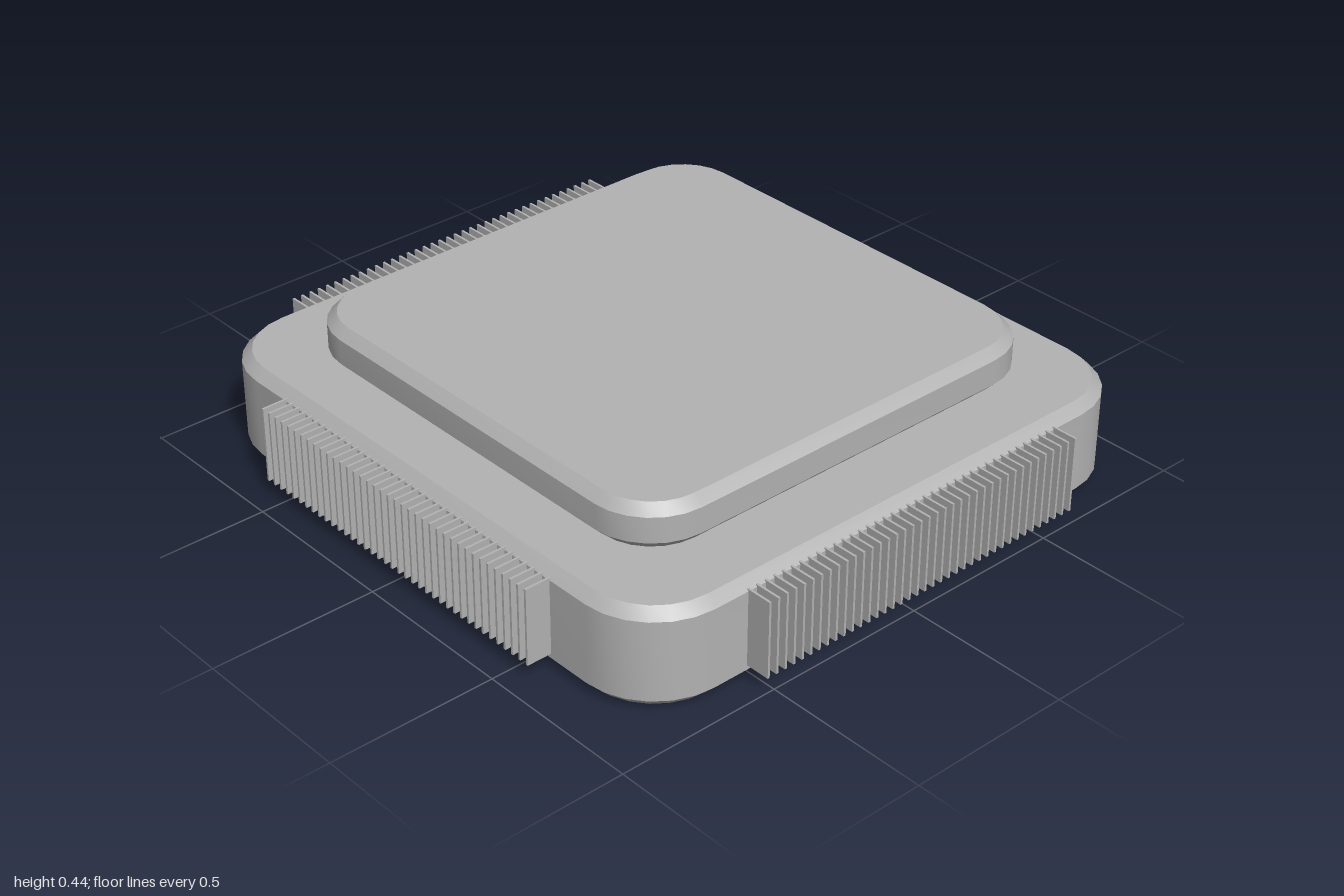
import * as THREE from 'three';
import { toCreasedNormals } from 'three/addons/utils/BufferGeometryUtils.js';

const grey = new THREE.MeshStandardMaterial({ color: 0xb2b2b2 });
grey.name = 'grey';

// Rounded slab with chamfered top and bottom edges, lying flat on y = y0
function slab(name, hx, hz, radius, y0, y1, chamfer) {
  const s = new THREE.Shape();
  s.moveTo(-hx + radius, -hz);
  s.lineTo(hx - radius, -hz);
  s.absarc(hx - radius, -hz + radius, radius, -Math.PI / 2, 0);
  s.lineTo(hx, hz - radius);
  s.absarc(hx - radius, hz - radius, radius, 0, Math.PI / 2);
  s.lineTo(-hx + radius, hz);
  s.absarc(-hx + radius, hz - radius, radius, Math.PI / 2, Math.PI);
  s.lineTo(-hx, -hz + radius);
  s.absarc(-hx + radius, -hz + radius, radius, Math.PI, Math.PI * 1.5);
  const geo = new THREE.ExtrudeGeometry(s, {
    depth: y1 - y0 - 2 * chamfer, curveSegments: 3, bevelEnabled: true,
    bevelSize: chamfer, bevelThickness: chamfer, bevelOffset: -chamfer, bevelSegments: 1,
  });
  geo.rotateX(-Math.PI / 2);
  geo.translate(0, y0 + chamfer, 0);
  const mesh = new THREE.Mesh(toCreasedNormals(geo, 0.7), grey);
  mesh.name = name;
  return mesh;
}

// Row of thin upright fins standing out along +z
function finRow(name, reach) {
  const row = new THREE.Group();
  row.name = name;
  const count = 39, span = 1.12;
  const geo = new THREE.BoxGeometry(0.007, 0.232, 0.1);
  for (let i = 0; i < count; i++) {
    const fin = new THREE.Mesh(geo, grey);
    fin.name = 'fin';
    fin.position.set(-span / 2 + (span * i) / (count - 1), 0.16, reach - 0.05);
    row.add(fin);
  }
  return row;
}

export function createModel() {
  const model = new THREE.Group();
  model.name = 'finnedHousing';

  // Stacked housing
  const base = slab('base', 0.925, 0.897, 0.225, 0, 0.3, 0.03);
  const lid = slab('lid', 0.724, 0.724, 0.19, 0.3, 0.435, 0.029);
  base.position.z = lid.position.z = -0.038;
  model.add(base, lid);

  // Fins on the front and both sides; the back is plain
  model.add(finRow('frontFins', 0.935));
  for (const side of [1, -1]) {
    const row = finRow(side > 0 ? 'leftFins' : 'rightFins', 1);
    row.rotation.y = (side * Math.PI) / 2;
    row.position.z = -0.04;
    model.add(row);
  }
  return model;
}
